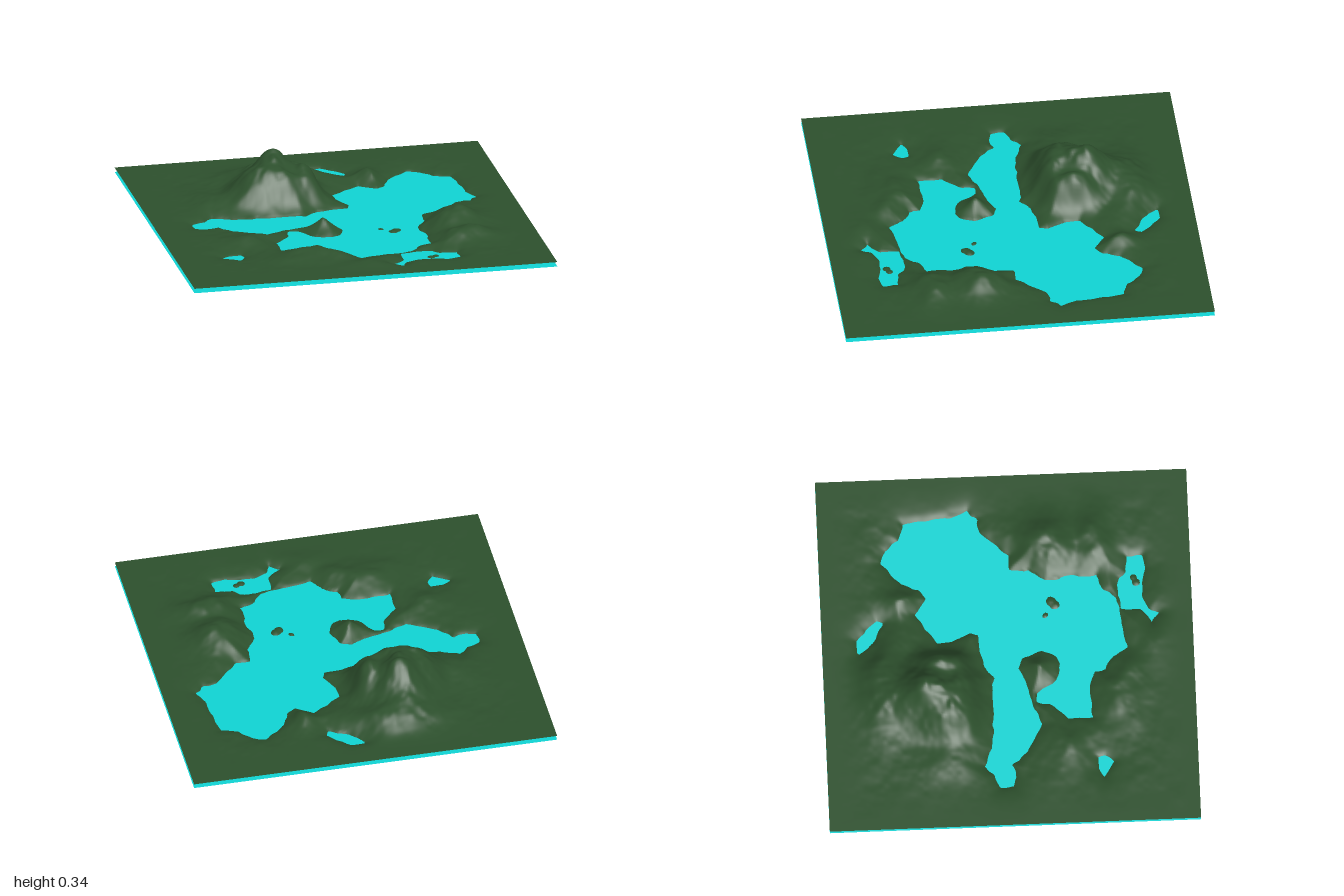
import * as THREE from 'three';

const WATER = 0.075, RIM = 0.1;

// Shorelines as x, z pairs
const northShore = [-.78, -.08, -.70, -.10, -.65, -.15, -.55, -.11, -.43, -.10, -.35, -.09, -.25, -.10, -.15, -.08,
  -.08, -.14, 0, -.15, .10, -.16, .12, -.20, .07, -.30, .06, -.38, .15, -.44, .23, -.49, .32, -.43, .37, -.47,
  .41, -.56, .48, -.62, .53, -.67, .60, -.64, .66, -.57, .75, -.54, .76, -.42, .78, -.29, .81, -.19];
const southShore = [.76, -.14, .69, -.12, .62, -.05, .55, .03, .47, .02, .46, .13, .40, .22, .42, .35, .42, .49,
  .33, .53, .29, .60, .20, .61, .08, .63, 0, .65, -.05, .57, -.12, .52, -.13, .46, -.22, .43, -.30, .44, -.39, .44,
  -.40, .31, -.34, .25, -.31, .21, -.30, .14, -.25, .15, -.20, .21, -.17, .25, -.08, .28, -.04, .26, -.01, .18,
  -.04, .07, -.10, .05, -.17, .09, -.24, .10, -.35, .14, -.42, .17, -.50, .13, -.58, .08, -.65, 0, -.72, .02, -.77, 0];
const northPond = [.01, -.81, .09, -.81, .15, -.76, .20, -.70, .19, -.66, .12, -.70, .04, -.75];
const westPond = [-.73, .49, -.69, .46, -.62, .46, -.61, .50, -.65, .54];
const southPond = [.22, .62, .30, .60, .40, .61, .43, .65, .52, .66, .52, .74, .45, .76, .38, .74, .30, .73,
  .22, .77, .19, .82, .14, .78, .21, .72, .21, .67];
const lakes = [northShore.concat(southShore), northPond, westPond, southPond];

// Islands: x, z, radius
const islands = [[.255, .265, .025], [.28, .245, .025], [.2, .21, .014], [.37, .705, .022], [.4, .69, .02]];

// Hills: x, z, height, radius in x, radius in z
const hills = [
  [-.25, -.45, .22, .15, .19], [-.38, -.33, .165, .13, .16], [-.10, -.36, .155, .10, .16], [-.26, -.28, .175, .16, .13],
  [-.20, -.68, .09, .25, .15], [-.58, -.32, .03, .15, .18], [.30, -.57, .045, .08, .10],
  [.60, .22, .085, .16, .15], [.62, .48, .055, .20, .10], [-.20, .60, .04, .20, .12],
  [-.10, .16, .06, .08, .08], [-.55, .30, .025, .15, .10], [.10, .82, .035, .20, .09],
];

// Smooth value noise in -1..1
function hash(i, j) {
  let h = Math.imul(i, 374761393) + Math.imul(j, 668265263);
  h = Math.imul(h ^ (h >>> 13), 1274126177);
  return ((h ^ (h >>> 16)) >>> 0) / 2147483648 - 1;
}
function noise(x, z) {
  const i = Math.floor(x), j = Math.floor(z);
  const u = THREE.MathUtils.smoothstep(x - i, 0, 1), v = THREE.MathUtils.smoothstep(z - j, 0, 1);
  const { lerp } = THREE.MathUtils;
  return lerp(lerp(hash(i, j), hash(i + 1, j), u), lerp(hash(i, j + 1), hash(i + 1, j + 1), u), v);
}
const rough = (x, z) => 0.6 * noise(x * 9, z * 9) + 0.3 * noise(x * 19 + 7, z * 19) + 0.12 * noise(x * 38, z * 38 + 5);

// Distance to a shoreline: positive in the water, negative on land
function shoreDistance(p, x, z) {
  let best = Infinity, inside = false;
  for (let i = 0, k = p.length - 2; i < p.length; k = i, i += 2) {
    const ax = p[k], az = p[k + 1], ex = p[i] - ax, ez = p[i + 1] - az;
    const t = THREE.MathUtils.clamp(((x - ax) * ex + (z - az) * ez) / (ex * ex + ez * ez), 0, 1);
    best = Math.min(best, Math.hypot(x - ax - t * ex, z - az - t * ez));
    if ((az > z) !== (p[i + 1] > z) && x < ax + (z - az) / ez * ex) inside = !inside;
  }
  return inside ? best : -best;
}

function terrainHeight(x, z) {
  const n = rough(x, z);
  let d = Math.max(...lakes.map(p => shoreDistance(p, x, z)));
  for (const [ix, iz, r] of islands) d = Math.min(d, Math.hypot(x - ix, z - iz) - r);
  d += 0.01 * noise(x * 22 + 3, z * 22) * Math.exp(-Math.abs(d) * 30);
  // Lake bed, cut flat at the base
  if (d > 0) return Math.max(0, WATER - d * (0.56 + 0.22 * n));
  // Banks rise to the rim level, hills fade in away from the shore
  const land = -d;
  let sum = 0;
  for (const [hx, hz, h, rx, rz] of hills) {
    sum += (h * Math.exp(-(((x - hx) / rx) ** 2) - ((z - hz) / rz) ** 2)) ** 3;
  }
  const hill = Math.cbrt(sum) * THREE.MathUtils.smoothstep(land, -0.03, 0.13);
  const edge = 1 - THREE.MathUtils.smoothstep(Math.max(Math.abs(x), Math.abs(z)), 0.65, 0.98);
  const bank = (RIM - WATER) * (1 - Math.exp(-land / 0.045));
  return WATER + bank + edge * (hill * (1 + 0.16 * n) + 0.007 * n * Math.min(1, land / 0.06));
}

function flatSheet(segments) {
  return new THREE.PlaneGeometry(2, 2, segments, segments).rotateX(-Math.PI / 2);
}

function addMesh(group, name, geometry, color) {
  const mesh = new THREE.Mesh(geometry, new THREE.MeshStandardMaterial({ color, side: THREE.DoubleSide }));
  mesh.name = name;
  group.add(mesh);
  return mesh;
}

export function createModel() {
  const group = new THREE.Group();
  group.name = 'lakeLandscape';

  // Ground with mountain, hills and lake bed
  const ground = flatSheet(200);
  const pos = ground.attributes.position;
  for (let i = 0; i < pos.count; i++) {
    const x = pos.getX(i), z = pos.getZ(i);
    const rim = Math.max(Math.abs(x), Math.abs(z)) > 0.999;
    pos.setY(i, rim ? RIM : terrainHeight(x, z));
  }
  ground.computeVertexNormals();
  addMesh(group, 'terrain', ground, 0x2d502d);

  // Flat water sheet
  addMesh(group, 'water', flatSheet(1), 0x10d4d4).position.y = WATER;

  return group;
}
